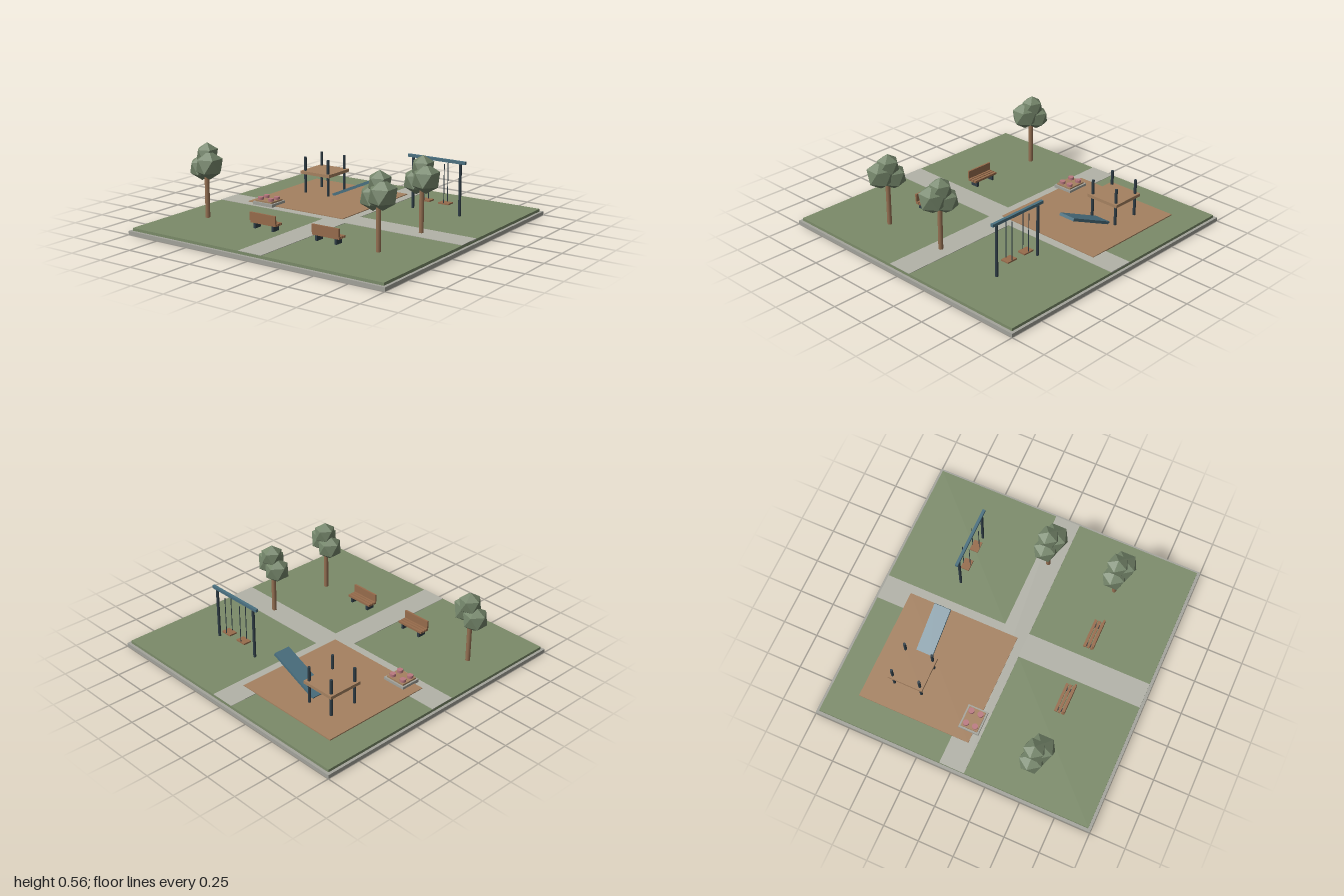
import * as THREE from 'three';

const mat = (name, color, flat = false) => {
  const m = new THREE.MeshStandardMaterial({ color, flatShading: flat });
  m.name = name;
  return m;
};

export function createModel() {
  const M = {
    kerb: mat('kerb grey', 0xa3a39b),
    path: mat('path grey', 0xb2b2a8),
    grass: mat('grass green', 0x7b8b69),
    sand: mat('sand brown', 0xa58160),
    wood: mat('bench wood', 0x976c4c),
    bark: mat('bark brown', 0x967153),
    leaf: mat('leaf green', 0x74856a, true),
    blue: mat('play blue', 0x4a7080),
    dark: mat('dark steel', 0x2f3d46),
    pink: mat('flower pink', 0xb9787f),
  };
  const root = new THREE.Group();
  root.name = 'playground';

  const group = (name, x = 0, y = 0, z = 0) => {
    const g = new THREE.Group();
    g.name = name;
    g.position.set(x, y, z);
    root.add(g);
    return g;
  };
  const add = (parent, name, geo, material, x, y, z) => {
    const m = new THREE.Mesh(geo, material);
    m.name = name;
    m.position.set(x, y, z);
    parent.add(m);
    return m;
  };
  const box = (p, name, material, w, h, d, x, y, z) =>
    add(p, name, new THREE.BoxGeometry(w, h, d), material, x, y, z);
  // upright cylinder between two heights
  const rod = (p, name, material, r, y0, y1, x, z, sides = 10) =>
    add(p, name, new THREE.CylinderGeometry(r, r, y1 - y0, sides), material, x, (y0 + y1) / 2, z);

  // ground layers
  const ground = group('ground');
  box(ground, 'baseSlab', M.kerb, 2, 0.026, 2, 0, 0.013, 0);
  box(ground, 'lawn', M.grass, 1.96, 0.02, 1.96, 0, 0.035, 0);
  box(ground, 'crossPath', M.path, 1.96, 0.008, 0.18, 0, 0.044, 0);
  for (const s of [-1, 1])
    box(ground, 'longPath', M.path, 0.18, 0.008, 0.89, 0, 0.044, s * 0.535);
  box(ground, 'sandPit', M.sand, 0.81, 0.012, 0.81, -0.375, 0.047, -0.375);

  // climbing platform with four posts
  const tower = group('climbingTower', -0.5, 0, -0.5);
  box(tower, 'platform', M.sand, 0.25, 0.022, 0.25, 0, 0.203, 0);
  for (const x of [-0.1, 0.1])
    for (const z of [-0.1, 0.1]) rod(tower, 'towerPost', M.dark, 0.01, 0.045, 0.315, x, z);

  // sloping slide board
  const slide = box(root, 'slide', M.blue, 0.4, 0.02, 0.12, -0.207, 0.136, -0.5);
  slide.rotation.z = 0.42;

  // swing frame with two seats
  const swing = group('swing', 0.435, 0, -0.5);
  box(swing, 'swingBeam', M.blue, 0.45, 0.02, 0.02, 0, 0.415, 0);
  for (const s of [-1, 1]) {
    rod(swing, 'swingPost', M.dark, 0.01, 0.045, 0.406, s * 0.185, 0);
    box(swing, 'swingSeat', M.wood, 0.08, 0.01, 0.06, s * 0.075, 0.12, 0);
    for (const z of [-0.025, 0.025])
      rod(swing, 'swingChain', M.dark, 0.003, 0.12, 0.395, s * 0.075, z, 6);
  }

  // flower planter
  const planter = group('planter', -0.625, 0, -0.003);
  box(planter, 'planterBase', M.kerb, 0.17, 0.025, 0.145, 0, 0.058, 0);
  box(planter, 'planterSoil', M.sand, 0.145, 0.012, 0.12, 0, 0.075, 0);
  for (const x of [-0.045, 0.045])
    for (const z of [-0.033, 0.033]) rod(planter, 'flower', M.pink, 0.021, 0.078, 0.1, x, z, 8);

  // benches, backrest on the +z side
  for (const s of [-1, 1]) {
    const bench = group('bench', s * 0.25, 0, 0.5);
    for (const z of [-0.025, 0, 0.025])
      box(bench, 'seatSlat', M.wood, 0.21, 0.015, 0.019, 0, 0.09, z);
    box(bench, 'backrest', M.wood, 0.21, 0.055, 0.013, 0, 0.127, 0.034);
    for (const x of [-0.075, 0.075])
      box(bench, 'benchLeg', M.dark, 0.016, 0.04, 0.06, x, 0.063, 0);
  }

  // trees with three faceted crowns each: x, y, z, radius
  const crowns = [
    [-0.047, 0.385, -0.008, 0.09],
    [0.042, 0.415, 0.02, 0.1],
    [0, 0.48, -0.01, 0.08],
  ];
  for (const [x, z] of [[-0.75, 0.5], [0.625, 0.5], [0.625, 0]]) {
    const tree = group('tree', x, 0, z);
    rod(tree, 'trunk', M.bark, 0.016, 0, 0.36, 0, 0, 8);
    for (const [cx, cy, cz, r] of crowns) {
      // stand each crown on a vertex
      const geo = new THREE.IcosahedronGeometry(r, 0).rotateX(-1.01722).rotateY(-Math.PI / 2);
      add(tree, 'crown', geo, M.leaf, cx, cy, cz);
    }
  }
  return root;
}
